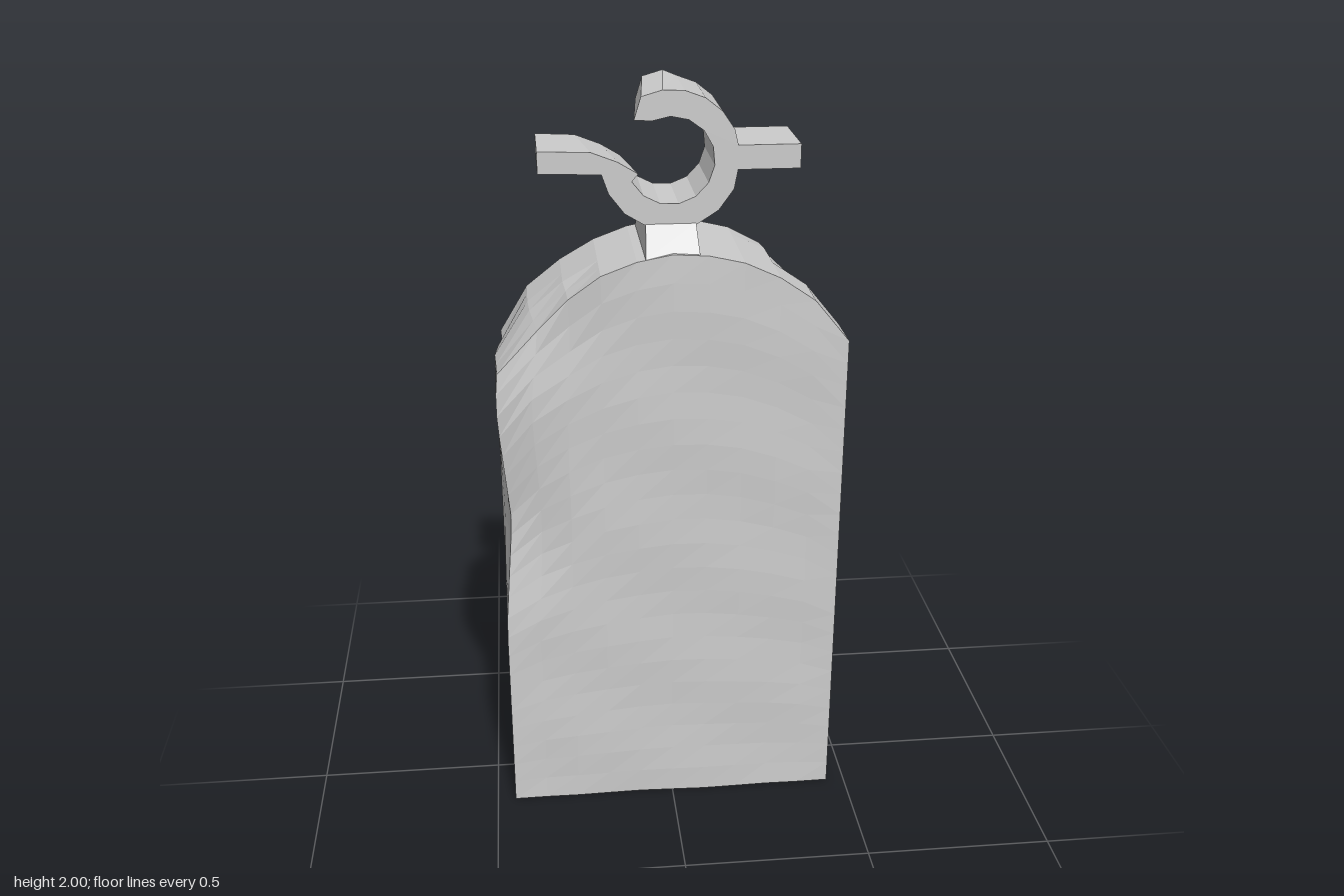
import * as THREE from 'three';

const material = new THREE.MeshStandardMaterial({ color: 0xcccccc, flatShading: true });

function part(name, geometry) {
  const flat = geometry.index ? geometry.toNonIndexed() : geometry;
  flat.computeVertexNormals();
  const mesh = new THREE.Mesh(flat, material);
  mesh.name = name;
  return mesh;
}

// Moves every vertex of a geometry by a rule
function deform(geometry, rule) {
  const pos = geometry.attributes.position;
  const v = new THREE.Vector3();
  for (let i = 0; i < pos.count; i++) {
    v.fromBufferAttribute(pos, i);
    rule(v);
    pos.setXYZ(i, v.x, v.y, v.z);
  }
  return geometry;
}

// Solid between a front and a back outline (counter-clockwise, same count)
function loft(front, back, zFront, zBack) {
  const n = front.length;
  const positions = [];
  front.forEach(p => positions.push(p.x, p.y, zFront));
  back.forEach(p => positions.push(p.x, p.y, zBack));
  const index = [];
  for (const [a, b, c] of THREE.ShapeUtils.triangulateShape(front, [])) {
    index.push(a, b, c, n + c, n + b, n + a);
  }
  for (let i = 0; i < n; i++) {
    const j = (i + 1) % n;
    index.push(i, n + i, j, j, n + i, n + j);
  }
  const geometry = new THREE.BufferGeometry();
  geometry.setAttribute('position', new THREE.Float32BufferAttribute(positions, 3));
  geometry.setIndex(index);
  return geometry;
}

// Height of the arched top at a given x, slightly uneven left to right
const ARCH = [[0, 1.597], [0.07, 1.592], [0.19, 1.556], [0.31, 1.49], [0.4, 1.41], [0.45, 1.33]];
function archHeight(x) {
  const d = Math.min(Math.abs(x), 0.45);
  const k = Math.max(1, ARCH.findIndex(p => p[0] >= d - 1e-6));
  const [x0, y0] = ARCH[k - 1], [x1, y1] = ARCH[k];
  return y0 + (y1 - y0) * (d - x0) / (x1 - x0) + x * 0.06;
}

// Worn places: centre, reach in x/y/z, and how far the stone is pushed in
const CHIPS = [
  { at: [0.43, 1.37, -0.165], reach: [0.24, 0.24, 0.2], push: [-0.09, -0.05, 0.08] },
  { at: [-0.45, 0.05, -0.165], reach: [0.15, 0.24, 0.14], push: [0.06, 0, 0.06] },
  { at: [-0.45, 0.87, 0.165], reach: [0.2, 0.3, 0.18], push: [0.025, 0, -0.04] },
  { at: [-0.45, 1.22, -0.12], reach: [0.15, 0.16, 0.14], push: [0.04, 0, 0.02] },
  { at: [-0.36, 1.42, 0.165], reach: [0.2, 0.2, 0.16], push: [0.02, -0.02, -0.02] },
];

function slab() {
  const geometry = new THREE.BoxGeometry(0.9, 1, 0.33, 10, 22, 5);
  return deform(geometry, v => {
    v.y = (v.y + 0.5) * archHeight(v.x);
    const p = v.clone();
    // gentle unevenness of the broad faces
    if (Math.abs(p.x) < 0.44) {
      v.z += 0.004 * Math.sin(p.x * 13 + p.y * 7) * Math.cos(p.y * 11 - p.x * 5);
    }
    for (const { at, reach, push } of CHIPS) {
      const d = Math.hypot(...['x', 'y', 'z'].map((k, i) => (p[k] - at[i]) / reach[i]));
      const w = Math.max(0, 1 - d);
      v.x += push[0] * w;
      v.y += push[1] * w;
      v.z += push[2] * w;
    }
    v.y = Math.max(0, v.y);
  });
}

// Broken ring with two side arms, open at the upper right of the model
function brokenRing() {
  const P = (x, y) => new THREE.Vector2(x, y);
  const arc = (from, to, r, steps) => Array.from({ length: steps + 1 }, (_, i) => {
    const a = THREE.MathUtils.degToRad(from + (to - from) * i / steps);
    return P(r * Math.cos(a), 1.815 + r * Math.sin(a));
  });
  const front = [
    P(-0.325, 1.845), P(-0.325, 1.79), P(-0.17, 1.785),
    ...arc(207, 335, 0.172, 6),
    P(0.165, 1.79), P(0.32, 1.79), P(0.32, 1.85), P(0.165, 1.85),
    ...arc(25, 115, 0.172, 5),
    P(-0.09, 1.915),
    ...arc(115, -153, 0.108, 11),
    P(-0.08, 1.785), P(-0.13, 1.815), P(-0.195, 1.84),
  ];
  // the fracture runs at a slant towards the back
  const n = front.length;
  const back = front.map((p, i) => {
    if (i >= n - 3) return P(p.x - 0.03, p.y);
    if (p.x < 0.02 && p.y > 1.9) return P(p.x + 0.02, p.y + 0.012);
    return p.clone();
  });
  return loft(front, back, 0.105, -0.1);
}

export function createModel() {
  const group = new THREE.Group();
  group.name = 'wornHeadstone';

  group.add(part('slab', slab()));

  // Tapered foot joining the slab and the ring
  const neck = deform(new THREE.BoxGeometry(0.136, 0.075, 0.326), v => {
    if (v.y > 0) {
      v.x *= 0.92;
      v.z *= 0.64;
    }
    v.y += 1.622;
  });
  group.add(part('neck', neck));

  group.add(part('brokenRing', brokenRing()));
  return group;
}
